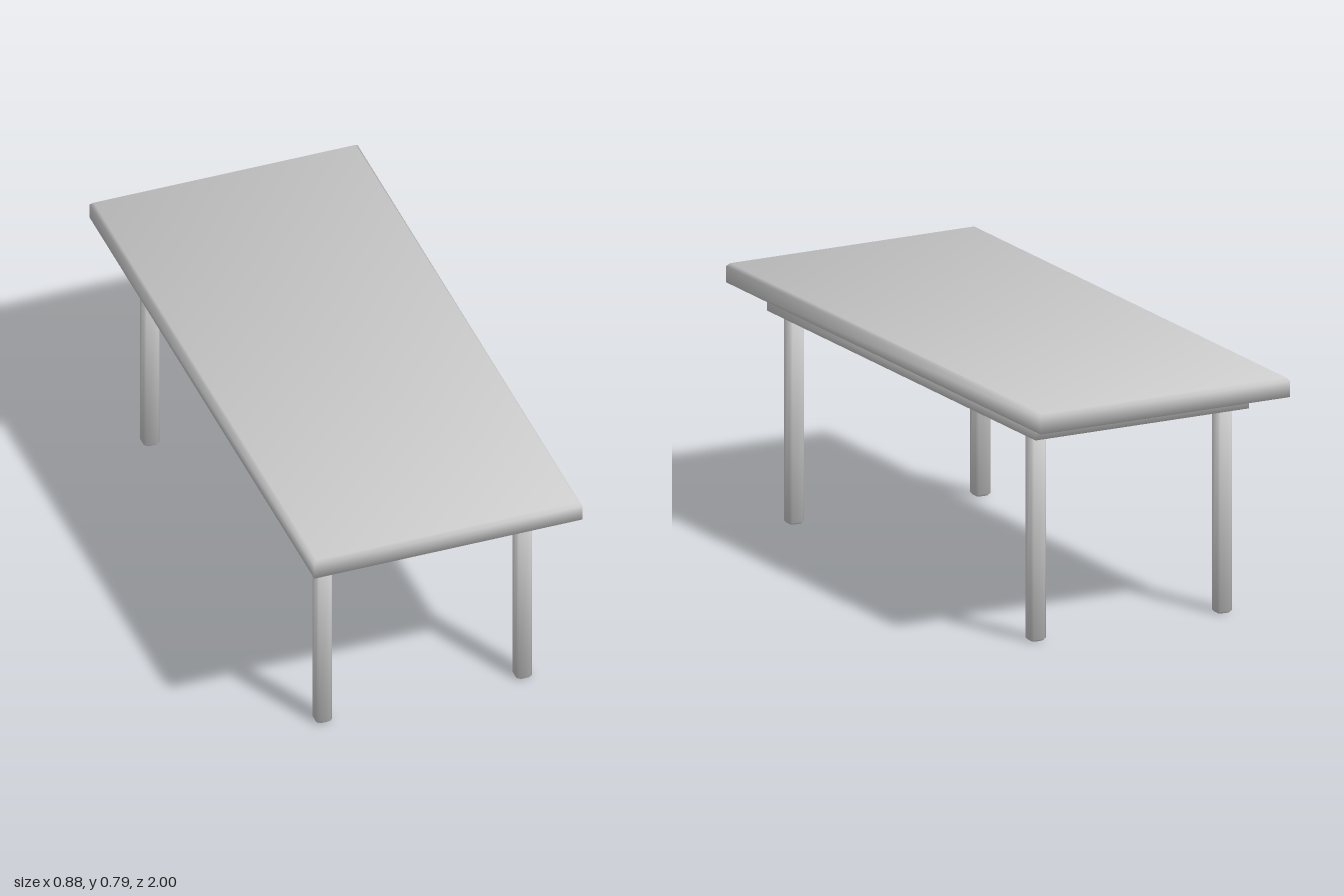
import * as THREE from 'three';

const material = new THREE.MeshStandardMaterial({ color: 0xcccccc });

// Rectangle outline, optionally with its corners cut by c
function outline(hx, hz, c) {
  const points = [];
  for (const [sx, sz] of [[1, 1], [1, -1], [-1, -1], [-1, 1]]) {
    if (!c) { points.push([sx * hx, sz * hz]); continue; }
    const pair = [[sx * (hx - c), sz * hz], [sx * hx, sz * (hz - c)]];
    points.push(...(sx * sz > 0 ? pair : pair.reverse()));
  }
  return points;
}

// Closed block stacked from rectangular levels [y, inset], softly shaded over its edges
function block(name, hx, hz, corner, levels) {
  const verts = [], faces = [];
  const n = corner ? 8 : 4;
  for (const [y, inset] of levels) {
    for (const [x, z] of outline(hx - inset, hz - inset, corner)) verts.push(new THREE.Vector3(x, y, z));
  }
  for (let k = 0; k < levels.length - 1; k++) {
    for (let i = 0; i < n; i++) {
      const a = k * n + i, b = k * n + (i + 1) % n;
      faces.push([a, b, b + n, a + n]);
    }
  }
  const cap = [...Array(n).keys()];
  faces.push([...cap].reverse(), cap.map(i => i + (levels.length - 1) * n));

  // Each vertex normal is the even average of the faces that meet there
  const normals = verts.map(() => new THREE.Vector3());
  const index = [];
  for (const f of faces) {
    const e1 = verts[f[1]].clone().sub(verts[f[0]]);
    const e2 = verts[f[2]].clone().sub(verts[f[0]]);
    const faceNormal = e1.cross(e2).normalize();
    f.forEach(v => normals[v].add(faceNormal));
    for (let i = 1; i < f.length - 1; i++) index.push(f[0], f[i], f[i + 1]);
  }
  const geometry = new THREE.BufferGeometry();
  geometry.setAttribute('position', new THREE.Float32BufferAttribute(verts.flatMap(v => v.toArray()), 3));
  geometry.setAttribute('normal', new THREE.Float32BufferAttribute(normals.flatMap(v => v.normalize().toArray()), 3));
  geometry.setIndex(index);
  const mesh = new THREE.Mesh(geometry, material);
  mesh.name = name;
  return mesh;
}

export function createModel() {
  const table = new THREE.Group();
  table.name = 'table';

  // Top board with a bevelled upper edge, and the solid apron below it
  table.add(block('tableTop', 0.442, 1, 0, [[0.731, 0], [0.782, 0], [0.793, 0.01]]));
  table.add(block('apron', 0.378, 0.852, 0, [[0.667, 0], [0.731, 0]]));

  // Four square legs with cut corners and bevelled feet
  for (const [sx, sideName] of [[1, 'Left'], [-1, 'Right']]) {
    for (const [sz, endName] of [[1, 'front'], [-1, 'back']]) {
      const leg = block(`${endName}${sideName}Leg`, 0.026, 0.025, 0.007,
        [[0, 0.006], [0.007, 0], [0.67, 0]]);
      leg.position.set(sx * 0.33, 0, sz * 0.767);
      table.add(leg);
    }
  }
  return table;
}
